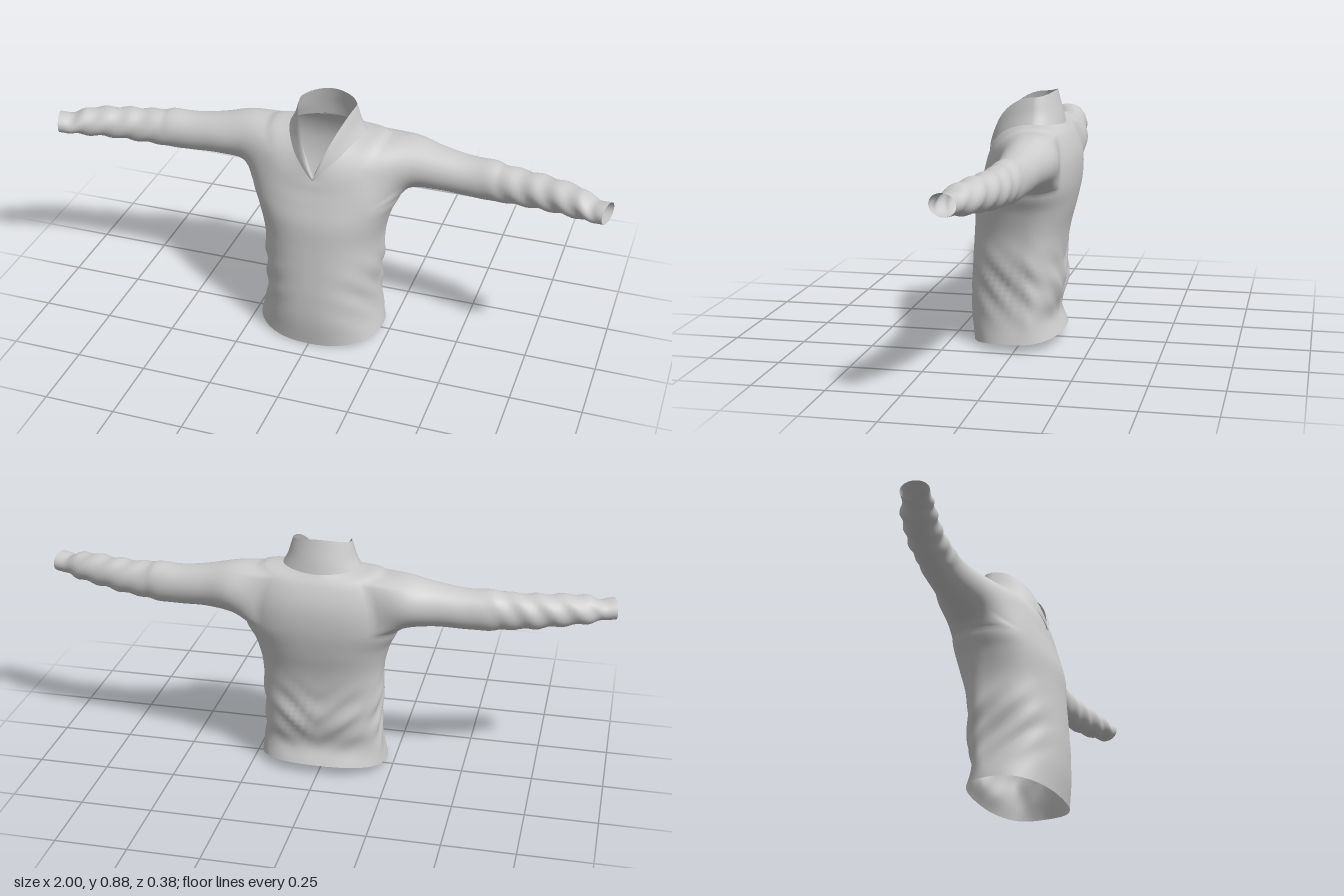
import * as THREE from 'three';

const COLS = 64, STEPS = 6, ARM_HALF = 8; // armhole spans 8 columns to each side

const spow = (v, p) => Math.sign(v) * Math.abs(v) ** p;
const lerp = THREE.MathUtils.lerp;

// One horizontal section: half width, front/side/back depth, front/side/back height.
// vee = 1 gives straight sloping edges that meet in a point at the front.
function section({ w, z, y, p = 0.85, vee = 0 }, angle) {
  const c = Math.cos(angle), s = Math.sin(angle), a = Math.abs(s);
  const rise = vee && s > 0 ? 1 - Math.abs(c) : s * s;
  const end = s > 0 ? 0 : 2;
  return new THREE.Vector3(
    w * spow(c, p) * (vee && s > 0 ? 1 - 0.12 * s : 1),
    lerp(y[1], y[end], rise),
    lerp(z[1], z[end], a ** p));
}

const flat = (y, w, front, back) => ({ w, z: [front, -0.03, back], y: [y, y, y] });

const NECK = { w: 0.135, z: [0.125, -0.045, -0.135], y: [0.65, 0.778, 0.772], p: 1.05, vee: 1 };
const BODY = [
  { w: 0.228, z: [0.178, 0, -0.142], y: [0, 0.026, 0.038] },
  flat(0.1, 0.214, 0.19, -0.116),
  flat(0.2, 0.205, 0.19, -0.138),
  flat(0.3, 0.212, 0.184, -0.137),
  flat(0.4, 0.215, 0.177, -0.15),
  flat(0.49, 0.238, 0.17, -0.173),
  { w: 0.268, z: [0.153, -0.05, -0.189], y: [0.555, 0.56, 0.58] },
  { w: 0.262, z: [0.138, -0.06, -0.187], y: [0.605, 0.67, 0.665] },
  { w: 0.215, z: [0.131, -0.06, -0.162], y: [0.636, 0.766, 0.735] },
  NECK,
];
const HOLE_LOW = 6, HOLE_HIGH = 8; // body sections below and above the armhole

// Sleeve sections: x, centre y, centre z, half height, half depth, slant
const SLEEVE = [
  [0.3, 0.675, -0.068, 0.092, 0.098, 0],
  [0.4, 0.67, -0.062, 0.075, 0.078, 0],
  [0.5, 0.661, -0.057, 0.07, 0.067, 0],
  [0.59, 0.661, -0.05, 0.071, 0.063, 0.05],
  [0.62, 0.66, -0.045, 0.066, 0.06, 0.08],
  [0.71, 0.661, -0.034, 0.06, 0.059, 0.12],
  [0.8, 0.665, -0.014, 0.055, 0.056, 0.18],
  [0.89, 0.666, 0.012, 0.048, 0.053, 0.25],
  [0.94, 0.661, 0.033, 0.036, 0.045, 0.28],
  [0.987, 0.665, 0.045, 0.036, 0.045, 0.28],
];

const smoothLine = (points, count) => {
  const curve = new THREE.CatmullRomCurve3(points, false, 'centripetal');
  return Array.from({ length: count + 1 }, (_, i) => curve.getPoint(i / count));
};

// Diagonal folds around the waist
function foldBody(v, angle) {
  const fade = Math.exp(-(((v.y - 0.22) / 0.1) ** 2));
  const side = Math.cos(angle) ** 2, back = Math.max(0, -Math.sin(angle));
  const d = fade * (0.007 * side * Math.sin(58 * (v.y - v.z)) +
    0.006 * back * Math.sin(62 * (v.y - Math.abs(v.x))));
  v.x += d * Math.cos(angle);
  v.z += d * Math.sin(angle);
}

function build(positions, indices) {
  const g = new THREE.BufferGeometry();
  g.setAttribute('position', new THREE.Float32BufferAttribute(positions, 3));
  g.setIndex(indices);
  g.computeVertexNormals();
  return g;
}

const quad = (out, a, b, d, e) => out.push(a, d, b, b, d, e);

function bodyGeometry() {
  const pos = [], idx = [];
  const rows = (BODY.length - 1) * STEPS;
  const low = HOLE_LOW * STEPS, high = HOLE_HIGH * STEPS;
  const id = (r, c) => r * COLS + ((c + COLS) % COLS);

  // Trunk from hem to neckline
  const grid = Array.from({ length: COLS }, (_, c) => {
    const angle = (c / COLS) * Math.PI * 2;
    const line = smoothLine(BODY.map((s) => section(s, angle)), rows);
    line.forEach((v) => foldBody(v, angle));
    return line;
  });
  for (let r = 0; r <= rows; r++) for (let c = 0; c < COLS; c++) pos.push(...grid[c][r].toArray());

  const inHole = (r, c) => r >= low && r < high && [0, COLS / 2, COLS].some(
    (m) => c >= m - ARM_HALF && c < m + ARM_HALF);
  for (let r = 0; r < rows; r++) for (let c = 0; c < COLS; c++) {
    if (!inHole(r, c)) quad(idx, id(r, c), id(r, c + 1), id(r + 1, c), id(r + 1, c + 1));
  }

  // Sleeves grow out of the armhole edges
  for (const side of [1, -1]) {
    const mid = side > 0 ? 0 : COLS / 2;
    const loop = [];
    for (let c = -ARM_HALF; c < ARM_HALF; c++) loop.push(id(low, mid + c));
    for (let r = low; r < high; r++) loop.push(id(r, mid + ARM_HALF));
    for (let c = ARM_HALF; c > -ARM_HALF; c--) loop.push(id(high, mid + c));
    for (let r = high; r > low; r--) loop.push(id(r, mid - ARM_HALF));

    const n = loop.length, count = SLEEVE.length * STEPS, base = pos.length / 3;
    const lines = loop.map((i) => {
      const start = new THREE.Vector3().fromArray(pos, i * 3);
      const t = Math.atan2((start.y - 0.66) / 0.1, (start.z + 0.04) / 0.115);
      const points = SLEEVE.map(([x, y, z, ry, rz, slant]) => new THREE.Vector3(
        side * (x - slant * rz * Math.cos(t)), y + ry * Math.sin(t), z + rz * Math.cos(t)));
      const line = smoothLine([start, ...points], count);
      // Soft creases along the forearm
      for (const v of line) {
        const x = Math.abs(v.x);
        const d = 0.0035 * THREE.MathUtils.smoothstep(x, 0.5, 0.75) *
          (1 - THREE.MathUtils.smoothstep(x, 0.93, 0.97)) * Math.sin(x * 75 + 2 * Math.cos(t) + 3 * Math.sin(t));
        v.y += d * Math.sin(t);
        v.z += d * Math.cos(t);
      }
      return line;
    });
    for (let r = 1; r <= count; r++) for (const line of lines) pos.push(...line[r].toArray());
    const at = (r, k) => (r === 0 ? loop[k % n] : base + (r - 1) * n + (k % n));
    for (let r = 0; r < count; r++) for (let k = 0; k < n; k++) {
      quad(idx, at(r, k), at(r, k + 1), at(r + 1, k), at(r + 1, k + 1));
    }
  }
  return build(pos, idx);
}

// Standing collar that runs down to a point at the chest
function collarGeometry() {
  const rings = [
    { ...NECK, w: 0.139, z: [0.129, -0.045, -0.137], y: [0.647, 0.772, 0.768] },
    { ...NECK, w: 0.119, z: [0.13, -0.045, -0.128], y: [0.654, 0.81, 0.81] },
    { ...NECK, w: 0.108, z: [0.126, -0.045, -0.117], y: [0.658, 0.845, 0.85] },
    { ...NECK, w: 0.101, z: [0.121, -0.045, -0.108], y: [0.66, 0.867, 0.885] },
  ];
  const pos = [], idx = [], rows = 9;
  const lines = Array.from({ length: COLS }, (_, c) =>
    smoothLine(rings.map((s) => section(s, (c / COLS) * Math.PI * 2)), rows));
  for (let r = 0; r <= rows; r++) for (const line of lines) pos.push(...line[r].toArray());
  for (let r = 0; r < rows; r++) for (let c = 0; c < COLS; c++) {
    const a = r * COLS + c, b = r * COLS + ((c + 1) % COLS);
    quad(idx, a, b, a + COLS, b + COLS);
  }
  return build(pos, idx);
}

export function createModel() {
  const group = new THREE.Group();
  group.name = 'sweater';
  const cloth = new THREE.MeshStandardMaterial({ color: 0xcccccc, side: THREE.DoubleSide });
  const add = (name, geometry) => {
    const mesh = new THREE.Mesh(geometry, cloth);
    mesh.name = name;
    group.add(mesh);
  };
  add('bodyAndSleeves', bodyGeometry());
  add('collar', collarGeometry());
  return group;
}
